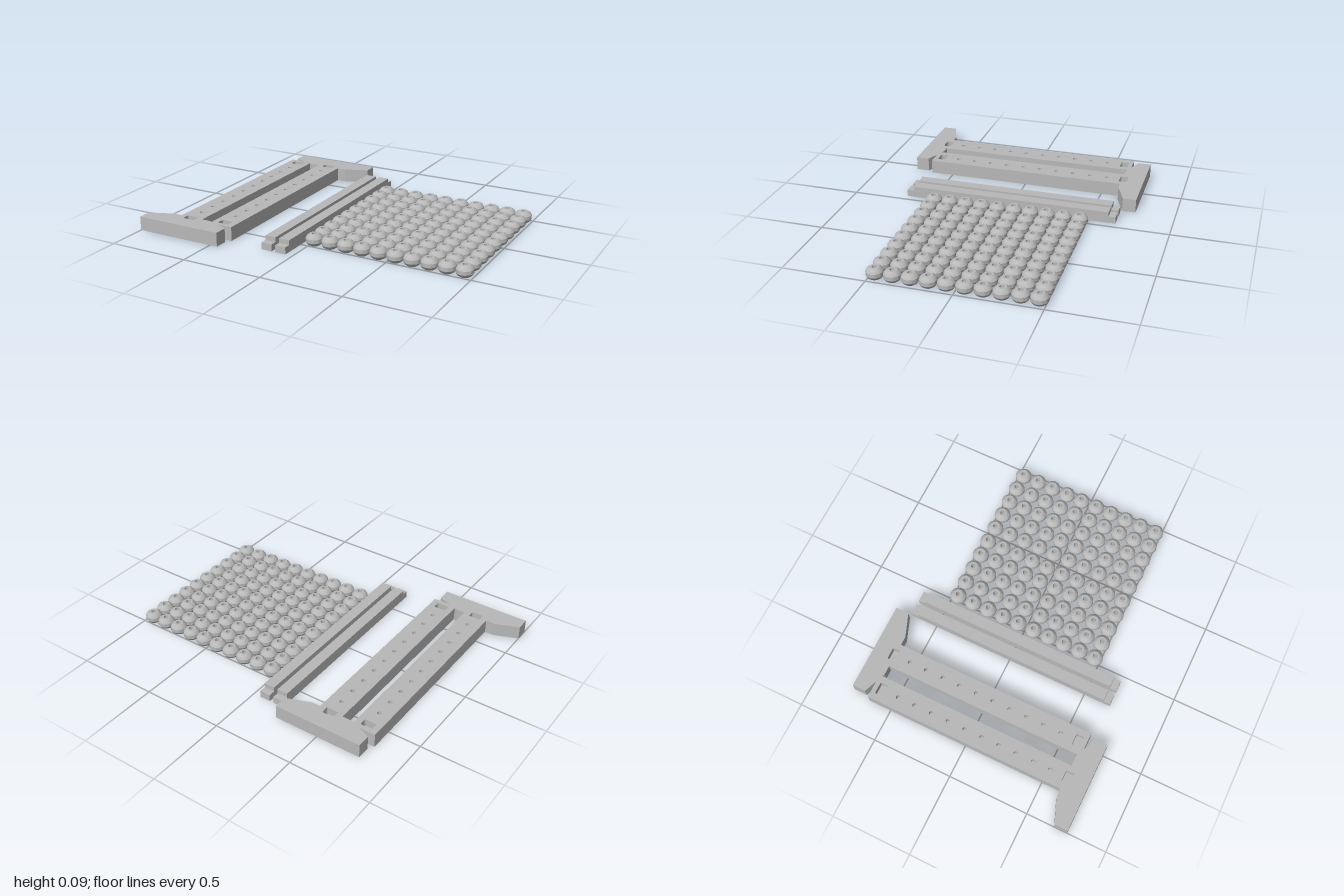
import * as THREE from 'three';
import { toCreasedNormals } from 'three/addons/utils/BufferGeometryUtils.js';

const HEIGHT = 0.085;   // frame thickness
const FLOOR = 0.04;     // bottom of the blind holes

// Flat slab from an (x, z) shape, between two heights
function slab(shape, y0, y1) {
  const geo = new THREE.ExtrudeGeometry(shape, { depth: y1 - y0, bevelEnabled: false, curveSegments: 8 });
  return geo.rotateX(Math.PI / 2).translate(0, y1, 0);
}

// T-shaped side frame: rail plus tapered foot, centred on the rail in x
function frameOutline() {
  return new THREE.Shape([
    [-0.275, 0.757], [-0.275, 0.675], [-0.13, 0.619], [-0.075, 0.619], [-0.075, -0.643],
    [0.075, -0.643], [0.075, 0.619], [0.13, 0.619], [0.275, 0.675], [0.275, 0.757],
  ].map(([x, z]) => new THREE.Vector2(x, z)));
}

// Rectangular mortise with slightly clipped corners
function mortise(z) {
  const w = 0.037, h = 0.024, c = 0.005;
  return new THREE.Path([
    [-w + c, -h], [w - c, -h], [w, -h + c], [w, h - c],
    [w - c, h], [-w + c, h], [-w, h - c], [-w, -h + c],
  ].map(([x, dz]) => new THREE.Vector2(x, z + dz)));
}

export function createModel() {
  const model = new THREE.Group();
  model.name = 'abacusKit';
  const grey = new THREE.MeshStandardMaterial({ color: 0xb8b8b8 });
  grey.name = 'plainGrey';

  const add = (parent, geo, name) => {
    const mesh = new THREE.Mesh(geo, grey);
    mesh.name = name;
    parent.add(mesh);
    return mesh;
  };

  // Side frames: solid floor below, drilled layer above
  const drilled = frameOutline();
  drilled.holes.push(mortise(-0.591), mortise(0.628));
  for (let i = 0; i < 10; i++) {
    drilled.holes.push(new THREE.Path().absarc(0, -0.48 + i * 0.111, 0.013, 0, Math.PI * 2, true));
  }
  const floorGeo = slab(frameOutline(), 0, FLOOR);
  const drilledGeo = slab(drilled, FLOOR, HEIGHT);
  [[-0.725, 0, 'firstFrame'], [-0.502, Math.PI, 'secondFrame']].forEach(([x, turn, name]) => {
    const frame = new THREE.Group();
    frame.name = name;
    frame.position.x = x;
    frame.rotation.y = turn;
    add(frame, floorGeo, 'frameFloor');
    add(frame, drilledGeo, 'drilledFrame');
    model.add(frame);
  });

  // Cross beams with a lower tenon at each end
  const beamProfile = new THREE.Shape([
    [-0.667, 0], [0.667, 0], [0.667, 0.042], [0.624, 0.042],
    [0.624, 0.07], [-0.624, 0.07], [-0.624, 0.042], [-0.667, 0.042],
  ].map(([z, y]) => new THREE.Vector2(z, y)));
  const beamGeo = new THREE.ExtrudeGeometry(beamProfile, { depth: 0.067, bevelEnabled: false })
    .translate(0, 0, -0.0335).rotateY(Math.PI / 2);
  [-0.172, -0.08].forEach((x) => { add(model, beamGeo, 'crossBeam').position.x = x; });

  // Beads: rounded rings with a through hole
  const beadProfile = [
    [0.014, 0], [0.028, 0], [0.042, 0.01], [0.05, 0.024], [0.05, 0.046],
    [0.042, 0.06], [0.028, 0.07], [0.014, 0.07], [0.014, 0],
  ].map(([r, y]) => new THREE.Vector2(r, y));
  const beadGeo = toCreasedNormals(new THREE.LatheGeometry(beadProfile, 28), 0.5);
  const beads = new THREE.Group();
  beads.name = 'beads';
  for (let col = 0; col < 10; col++) {
    for (let row = 0; row < 10; row++) {
      add(beads, beadGeo, 'bead').position.set(0.0235 + col * 0.103, 0, -0.4635 + row * 0.103);
    }
  }
  model.add(beads);

  return model;
}
